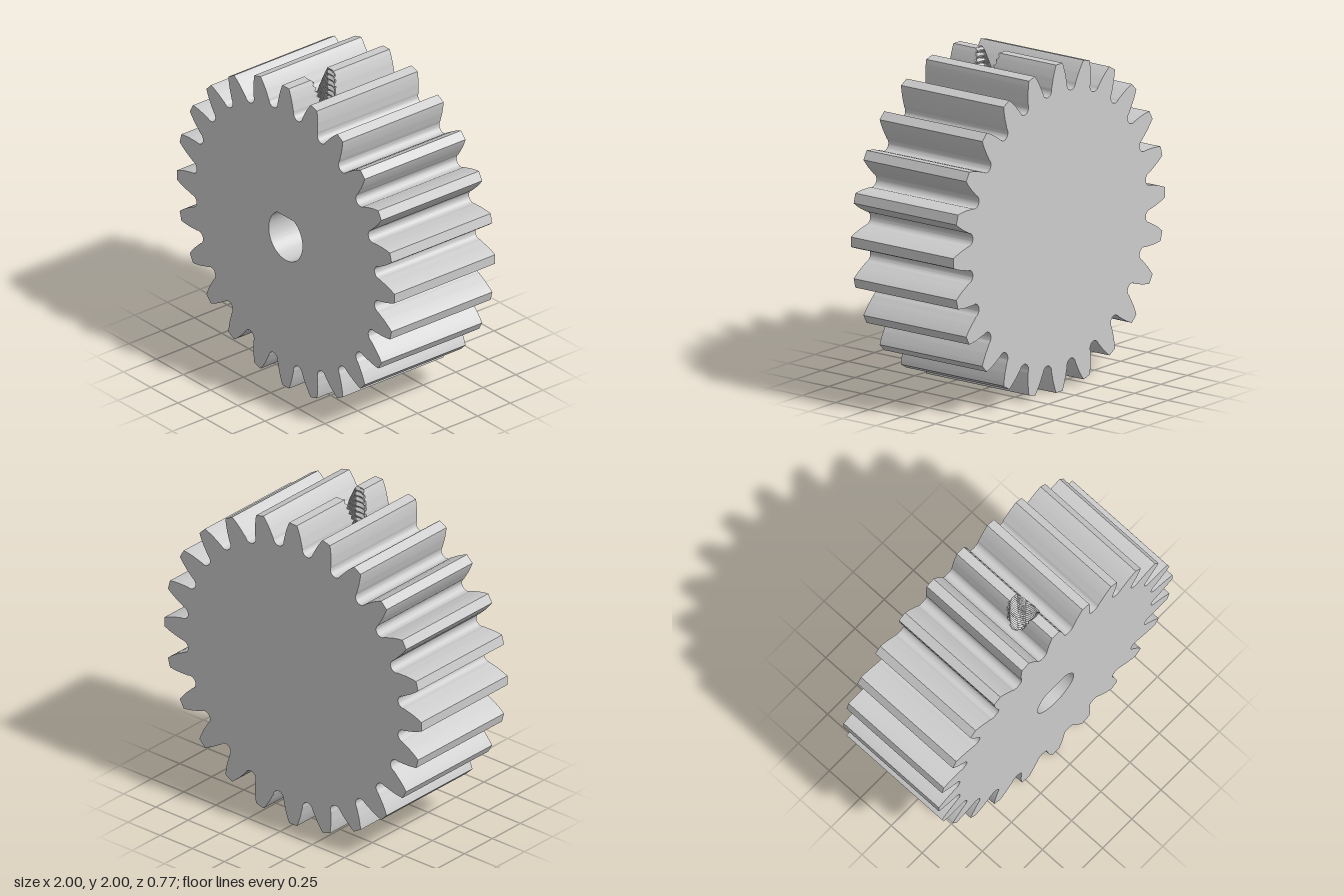
import * as THREE from 'three';
import { toCreasedNormals } from 'three/addons/utils/BufferGeometryUtils.js';

const TEETH = 24, CY = 1, HALF = 0.385;          // gear centre height, half thickness
const BORE_R = 0.155, FLAT = 0.135, BORE_END = -0.25;
const SCREW_Z = 0.125, SCREW_R = 0.09, PITCH = 0.034;
const material = new THREE.MeshStandardMaterial({ color: 0xcccccc });

// Half tooth as [radial, sideways] from the tip down to the middle of the round gap
function halfTooth() {
  const pts = [[1, 0.03], [0.975, 0.041], [0.95, 0.05], [0.925, 0.058], [0.9, 0.064], [0.88, 0.069]];
  const g = Math.PI / TEETH, c = Math.cos(g), s = Math.sin(g);
  for (let i = 0; i <= 8; i++) {
    const t = (1 - i / 8) * Math.PI / 2;
    const along = 0.865 - 0.04 * Math.cos(t), across = -0.04 * Math.sin(t);
    pts.push([along * c - across * s, along * s + across * c]);
  }
  return pts;
}
const HALF_TOOTH = halfTooth();

// Split long edges of a closed outline so the screw hole can cut it cleanly
function subdivide(pts, step) {
  const out = [];
  pts.forEach((p, i) => {
    const q = pts[(i + 1) % pts.length];
    const n = Math.max(1, Math.ceil(p.distanceTo(q) / step));
    for (let k = 0; k < n; k++) out.push(p.clone().lerp(q, k / n));
  });
  return out;
}

function gearOutline() {
  const tooth = [...HALF_TOOTH].reverse().concat(HALF_TOOTH.slice(0, -1).map(([u, v]) => [u, -v]));
  const pts = [];
  for (let i = 0; i < TEETH; i++) {
    const mid = Math.PI / 2 + i * 2 * Math.PI / TEETH;
    for (const [u, v] of tooth) {
      const a = mid - Math.atan2(v, u), r = Math.hypot(u, v);
      pts.push(new THREE.Vector2(r * Math.cos(a), CY + r * Math.sin(a)));
    }
  }
  return subdivide(pts, 0.012);
}

function boreOutline() {
  const a0 = Math.PI - Math.asin(FLAT / BORE_R), sweep = 2 * (Math.PI * 1.5 - a0);
  const pts = [];
  for (let i = 0; i <= 48; i++) {
    const a = a0 + sweep * i / 48;
    pts.push(new THREE.Vector2(BORE_R * Math.cos(a), CY + BORE_R * Math.sin(a)));
  }
  return subdivide(pts, 0.012);
}

// Helical V thread: radius of the screw hole at height y and angle a
function threadRadius(y, a) {
  const t = y / PITCH + a / (2 * Math.PI);
  return 0.083 + 0.016 * Math.abs(2 * (t - Math.floor(t)) - 1);
}

// Where the screw hole's edge lies in z, on its front (+1) or back (-1) side
function holeEdge(p, side) {
  if (p.y < CY || Math.abs(p.x) > 0.1) return SCREW_Z;
  const a = Math.atan2(side * Math.sqrt(Math.max(0, SCREW_R ** 2 - p.x ** 2)), p.x);
  return SCREW_Z + side * Math.sqrt(Math.max(0, threadRadius(p.y, a) ** 2 - p.x ** 2));
}

function creased(positions) {
  const geo = new THREE.BufferGeometry();
  geo.setAttribute('position', new THREE.Float32BufferAttribute(positions, 3));
  return toCreasedNormals(geo, 0.5);
}

function quad(out, a, b, c, d) {
  out.push(...a, ...b, ...c, ...a, ...c, ...d);
}

// Wall swept along z, opened where the screw hole passes through it
function wall(outline, z0, z1) {
  const out = [];
  outline.forEach((p, i) => {
    const q = outline[(i + 1) % outline.length];
    const strip = (pa, pb, qa, qb) =>
      quad(out, [p.x, p.y, pa], [q.x, q.y, qa], [q.x, q.y, qb], [p.x, p.y, pb]);
    strip(z0, holeEdge(p, -1), z0, holeEdge(q, -1));
    strip(holeEdge(p, 1), z1, holeEdge(q, 1), z1);
  });
  return creased(out);
}

// Height of the top tooth's surface at a sideways offset
function toothHeight(x) {
  const v = Math.abs(x);
  if (v <= HALF_TOOTH[0][1]) return CY + 1;
  for (let i = 1; i < HALF_TOOTH.length; i++) {
    const [u0, v0] = HALF_TOOTH[i - 1], [u1, v1] = HALF_TOOTH[i];
    if (v <= v1) return CY + u0 + (u1 - u0) * (v - v0) / (v1 - v0);
  }
  return CY + 0.82;
}

// Threaded wall from the flat of the bore up to the tooth
function threadWall() {
  const rows = 150, cols = 64, out = [];
  const point = (i, j) => {
    const a = 2 * Math.PI * (j % cols) / cols, x = SCREW_R * Math.cos(a);
    const low = CY + Math.min(FLAT, Math.sqrt(BORE_R ** 2 - x * x));
    const y = THREE.MathUtils.lerp(low, toothHeight(x), i / rows);
    const r = threadRadius(y, a);
    return [r * Math.cos(a), y, SCREW_Z + r * Math.sin(a)];
  };
  for (let i = 0; i < rows; i++)
    for (let j = 0; j < cols; j++)
      quad(out, point(i, j), point(i, j + 1), point(i + 1, j + 1), point(i + 1, j));
  return creased(out);
}

export function createModel() {
  const gear = new THREE.Group();
  gear.name = 'gear';
  const add = (name, geometry) => {
    const mesh = new THREE.Mesh(geometry, material);
    mesh.name = name;
    gear.add(mesh);
  };
  const outline = gearOutline(), bore = boreOutline();

  // Toothed rim
  add('teeth', wall(outline, -HALF, HALF));

  // Flat end faces: the front one opens into the D-shaped bore, the back one is solid
  const front = new THREE.Shape(outline);
  front.holes.push(new THREE.Path(bore));
  add('frontFace', new THREE.ShapeGeometry(front).translate(0, 0, HALF));
  add('backFace', new THREE.ShapeGeometry(new THREE.Shape(outline)).rotateY(Math.PI).translate(0, 0, -HALF));

  // Blind shaft bore
  add('shaftBore', wall([...bore].reverse(), BORE_END, HALF));
  add('boreFloor', new THREE.ShapeGeometry(new THREE.Shape(bore)).translate(0, 0, BORE_END));

  // Threaded set-screw hole
  add('screwHole', threadWall());
  return gear;
}
